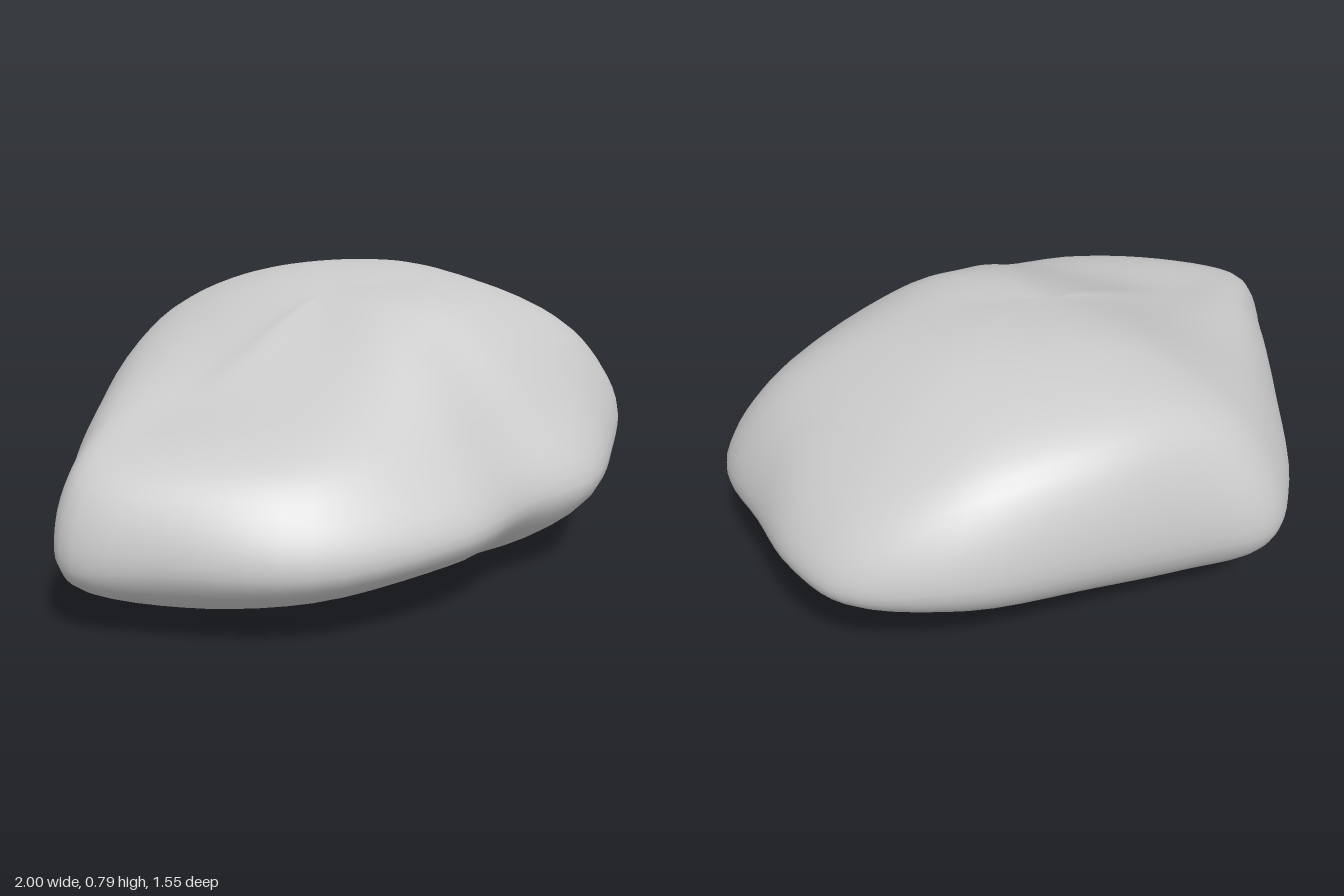
import * as THREE from 'three';

// Sections around the boulder, counterclockwise seen from above:
// rim x, z, y | shoulder scale, y | underside scale, y
const SECTIONS = [
  [1.0, -0.1, 0.40, 0.92, 0.55, 0.78, 0.24],
  [0.97, -0.29, 0.40, 0.91, 0.57, 0.78, 0.25],
  [0.76, -0.5, 0.41, 0.88, 0.65, 0.75, 0.21],
  [0.4, -0.64, 0.38, 0.88, 0.68, 0.75, 0.17],
  [0.1, -0.72, 0.33, 0.85, 0.66, 0.80, 0.15],
  [-0.12, -0.78, 0.31, 0.82, 0.60, 0.87, 0.17],
  [-0.3, -0.68, 0.30, 0.83, 0.56, 0.86, 0.15],
  [-0.55, -0.42, 0.30, 0.86, 0.52, 0.84, 0.13],
  [-0.82, -0.12, 0.27, 0.89, 0.48, 0.85, 0.11],
  [-1.0, 0.11, 0.20, 0.92, 0.42, 0.91, 0.11],
  [-0.88, 0.36, 0.22, 0.90, 0.43, 0.88, 0.09],
  [-0.63, 0.64, 0.22, 0.87, 0.43, 0.84, 0.10],
  [-0.2, 0.77, 0.24, 0.83, 0.45, 0.77, 0.10],
  [0.09, 0.73, 0.24, 0.84, 0.47, 0.62, 0.03],
  [0.34, 0.75, 0.25, 0.83, 0.48, 0.58, 0.01],
  [0.62, 0.62, 0.27, 0.85, 0.54, 0.60, 0.05],
  [0.87, 0.44, 0.32, 0.87, 0.57, 0.70, 0.15],
  [0.95, 0.14, 0.37, 0.89, 0.58, 0.75, 0.22],
];
const AROUND = 90, DOWN = 44;

// Height of the crown: low on the -x end, rising to a hump at +x
const crownY = (x, z) =>
  0.68 + 0.125 * Math.tanh(3.4 * (x + 0.2)) - 0.12 * x * x - 0.25 * z * z - 0.06 * z;

// Height of the underside, with a low bulge towards the front
const floorY = (x, z) =>
  0.1 - 0.04 * z + 0.05 * x + 0.2 * x * x
  - 0.09 * Math.exp(-12 * ((x - 0.15) ** 2 + (z - 0.35) ** 2));

// Smooth closed ring through one point per section
const ring = (pointOf) =>
  new THREE.CatmullRomCurve3(SECTIONS.map((s) => new THREE.Vector3(...pointOf(s))), true);

// Point of a height field; sign -1 gives the point across the centre
const onField = (field, p, sign) =>
  new THREE.Vector3(sign * p.x, field(sign * p.x, sign * p.z), sign * p.z);

function boulderGeometry() {
  const shoulder = ring(([x, z, , k, y]) => [x * k, y, z * k]);
  const rim = ring(([x, z, y]) => [x, y, z]);
  const underside = ring(([x, z, , , , k, y]) => [x * k, y, z * k]);
  const top = new THREE.Vector3(0, crownY(0, 0), 0);
  const bottom = new THREE.Vector3(0, floorY(0, 0), 0);

  // Meridians from crown to underside, guided past both poles to stay smooth there
  const pos = [...top];
  for (let j = 0; j < AROUND; j++) {
    const u = j / AROUND;
    const outer = rim.getPoint(u);
    const high = outer.clone().multiplyScalar(0.48);
    const low = outer.clone().multiplyScalar(0.34);
    const meridian = new THREE.CatmullRomCurve3([
      onField(crownY, high, -1), top, onField(crownY, high, 1),
      shoulder.getPoint(u), outer, underside.getPoint(u),
      onField(floorY, low, 1), bottom, onField(floorY, low, -1)]);
    for (let i = 1; i < DOWN; i++) {
      const p = meridian.getPoint((1 + (6 * i) / DOWN) / 8);
      pos.push(p.x, Math.max(p.y, 0), p.z);
    }
  }
  pos.push(...bottom);

  // Skin between neighbouring meridians
  const last = pos.length / 3 - 1;
  const at = (i, j) =>
    i === 0 ? 0 : i === DOWN ? last : 1 + (j % AROUND) * (DOWN - 1) + i - 1;
  const index = [];
  for (let j = 0; j < AROUND; j++) {
    for (let i = 0; i < DOWN; i++) {
      const a = at(i, j), b = at(i + 1, j), c = at(i + 1, j + 1), d = at(i, j + 1);
      if (i < DOWN - 1) index.push(a, b, c);
      if (i > 0) index.push(a, c, d);
    }
  }
  const geo = new THREE.BufferGeometry();
  geo.setAttribute('position', new THREE.Float32BufferAttribute(pos, 3));
  geo.setIndex(index);
  geo.computeVertexNormals();
  return geo;
}

export function createModel() {
  const group = new THREE.Group();
  group.name = 'rock';
  const boulder = new THREE.Mesh(
    boulderGeometry(), new THREE.MeshStandardMaterial({ color: 0xcccccc }));
  boulder.name = 'boulder';
  group.add(boulder);
  return group;
}
